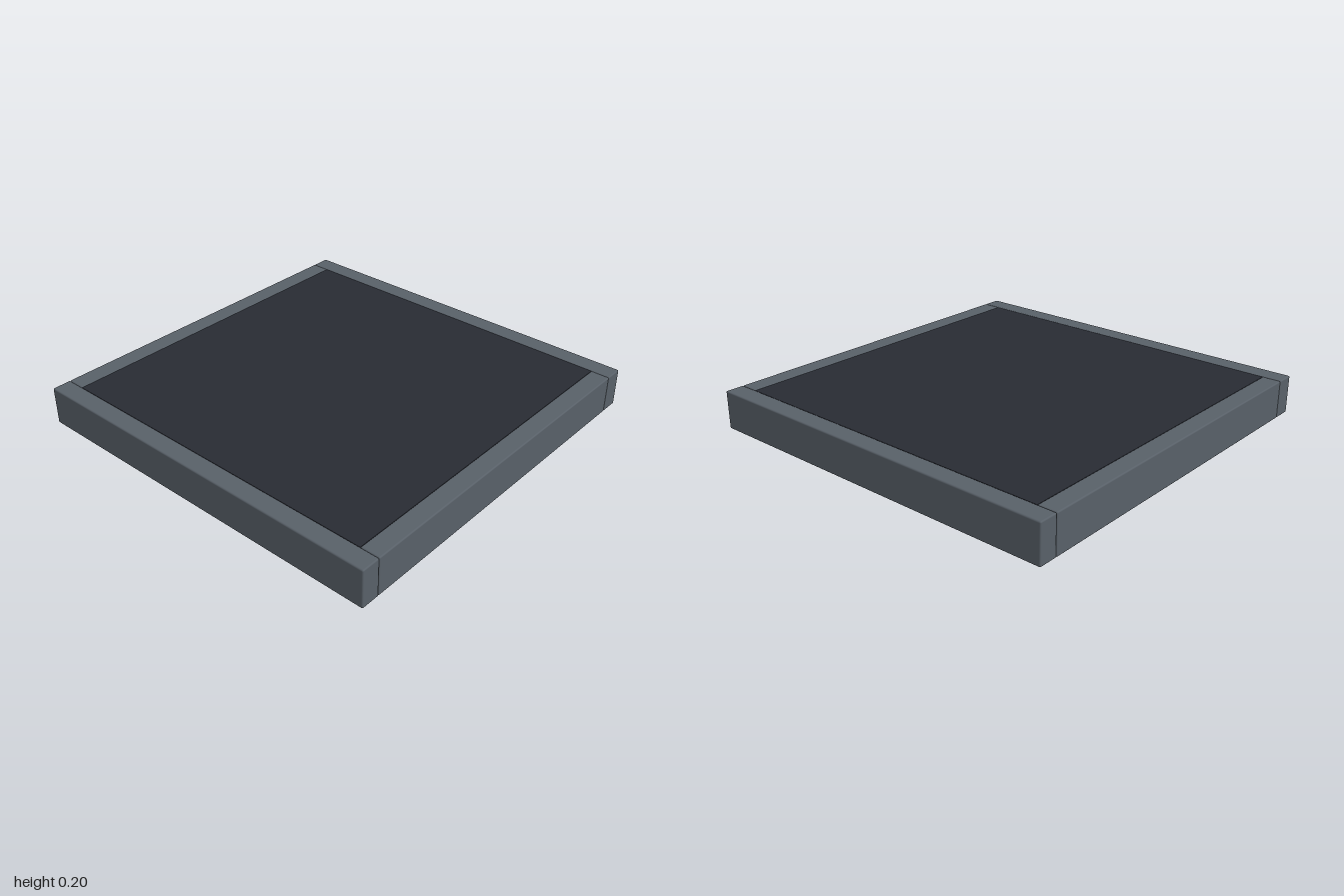
import * as THREE from 'three';
import { RoundedBoxGeometry } from 'three/addons/geometries/RoundedBoxGeometry.js';

export function createModel() {
  const model = new THREE.Group();
  model.name = 'framedTile';

  const frameMaterial = new THREE.MeshStandardMaterial({ color: 0x586068 });
  const topMaterial = new THREE.MeshStandardMaterial({ color: 0x282b33 });
  const baseMaterial = new THREE.MeshStandardMaterial({ color: 0xc8a264 });

  const height = 0.2;
  const rail = 0.1;
  const inner = 2 - 2 * rail;

  function add(name, geometry, material, x, y, z) {
    const mesh = new THREE.Mesh(geometry, material);
    mesh.name = name;
    mesh.position.set(x, y, z);
    model.add(mesh);
  }

  // Frame: full-width front and back rails, with side rails between them
  const longRail = new RoundedBoxGeometry(2, height, rail, 2, 0.007);
  const sideRail = new RoundedBoxGeometry(rail, height, inner, 2, 0.007);
  const offset = 1 - rail / 2;
  for (const s of [1, -1]) {
    add(s > 0 ? 'frontRail' : 'backRail', longRail, frameMaterial, 0, height / 2, s * offset);
    add(s > 0 ? 'leftRail' : 'rightRail', sideRail, frameMaterial, s * offset, height / 2, 0);
  }

  // Infill: a thin dark surface over a sandy base, nearly flush with the frame
  const gap = 0.002;
  const skin = 0.02;
  const baseHeight = height - skin - 2 * gap;
  add('base', new THREE.BoxGeometry(inner, baseHeight, inner), baseMaterial, 0, gap + baseHeight / 2, 0);
  add('topSurface', new THREE.BoxGeometry(inner, skin, inner), topMaterial, 0, height - gap - skin / 2, 0);

  return model;
}
